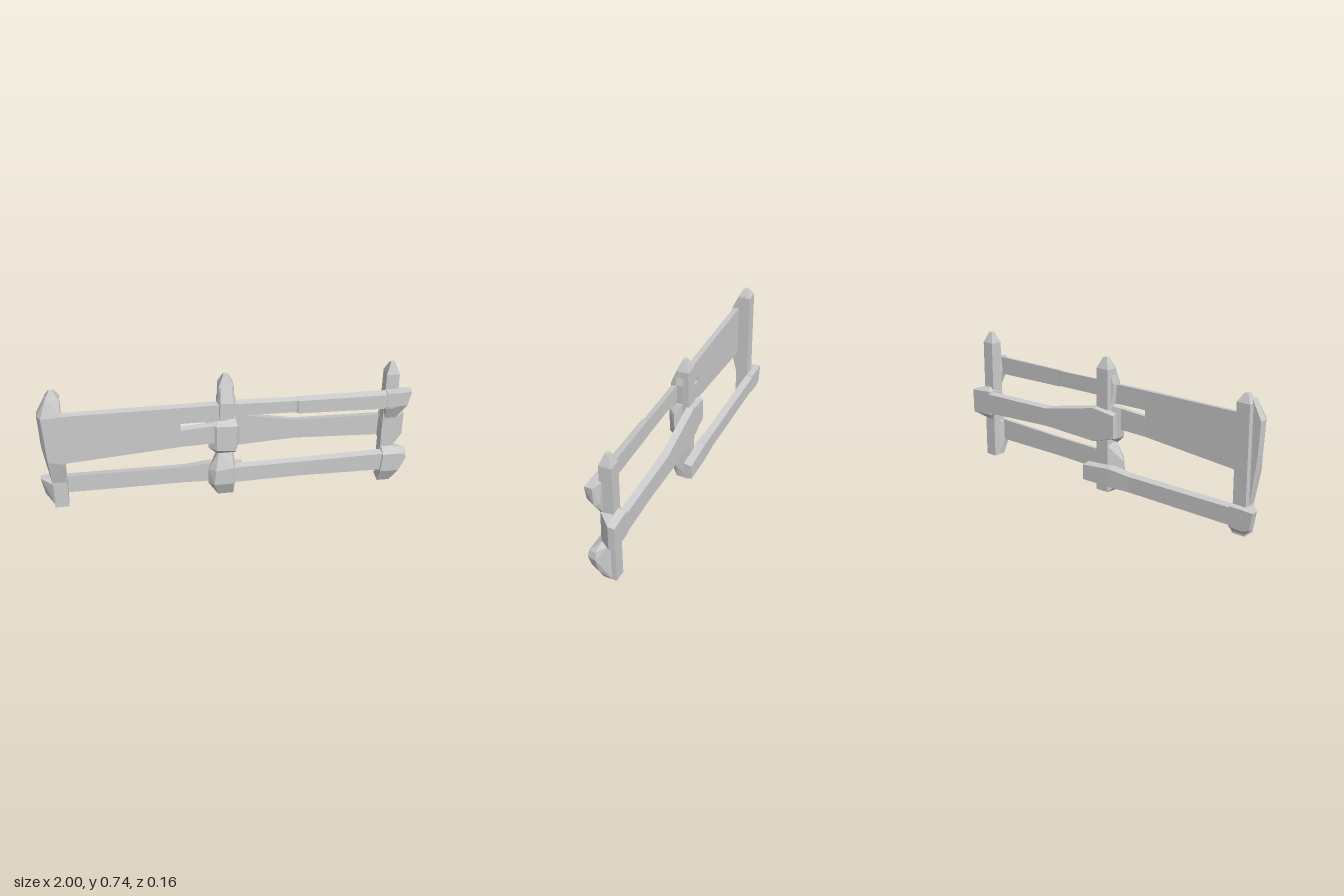
import * as THREE from 'three';
import { ConvexGeometry } from 'three/addons/geometries/ConvexGeometry.js';

const material = new THREE.MeshStandardMaterial({ color: 0xcccccc, flatShading: true });

function add(group, name, geometry) {
  const mesh = new THREE.Mesh(geometry, material);
  mesh.name = name;
  group.add(mesh);
}

// Faceted chunk: hull of several outlines, each given as [z, [x, y], [x, y], ...]
function chunk(group, name, ...layers) {
  const points = layers.flatMap(([z, ...outline]) => outline.map(([x, y]) => new THREE.Vector3(x, y, z)));
  add(group, name, new ConvexGeometry(points));
}

// Board running along x: stations [x, bottom, top, inner z, outer z]; the outer face is slightly narrower
function board(group, name, stations, bevel = 0.008) {
  const positions = [], index = [];
  for (const [x, y0, y1, zi, zo] of stations) {
    const ring = [[y0, zi], [y1, zi], [y1 - bevel, zo], [y0 + bevel, zo]];
    if (zo < zi) ring.reverse();
    for (const [y, z] of ring) positions.push(x, y, z);
  }
  const last = (stations.length - 1) * 4;
  for (let s = 0; s < last; s += 4) {
    for (let k = 0; k < 4; k++) {
      const a = s + k, b = s + (k + 1) % 4;
      index.push(a, b, b + 4, a, b + 4, a + 4);
    }
  }
  index.push(0, 2, 1, 0, 3, 2, last, last + 1, last + 2, last, last + 2, last + 3);
  const geometry = new THREE.BufferGeometry();
  geometry.setAttribute('position', new THREE.Float32BufferAttribute(positions, 3));
  geometry.setIndex(index);
  const flat = geometry.toNonIndexed();
  flat.computeVertexNormals();
  add(group, name, flat);
}

// Square post with a blunt carved point
function post(group, name, x, half, shoulder, top) {
  const points = [];
  for (const [y, w, d] of [[0, half, 0.035], [shoulder, half, 0.034], [top, 0.012, 0.01]]) {
    for (const sx of [-1, 1]) for (const sz of [-1, 1]) points.push(new THREE.Vector3(x + sx * w, y, sz * d));
  }
  add(group, name, new ConvexGeometry(points));
}

export function createModel() {
  const fence = new THREE.Group();
  fence.name = 'fence';

  // Posts
  post(fence, 'rightPost', -0.895, 0.038, 0.67, 0.715);
  post(fence, 'middlePost', 0, 0.04, 0.68, 0.74);
  post(fence, 'leftPost', 0.888, 0.035, 0.68, 0.74);

  // Wide split plank in front: solid part, then two prongs around the slot
  board(fence, 'widePlank', [
    [-0.9, 0.295, 0.597, 0.03, 0.064],
    [-0.245, 0.345, 0.595, 0.028, 0.062],
  ], 0.004);
  board(fence, 'widePlankUpperProng', [
    [-0.245, 0.49, 0.595, 0.028, 0.062],
    [0, 0.487, 0.593, 0.025, 0.06],
  ], 0.004);
  board(fence, 'widePlankLowerProng', [
    [-0.245, 0.345, 0.455, 0.028, 0.062],
    [-0.04, 0.35, 0.468, 0.025, 0.06],
  ], 0.004);

  // Chunky plank ends wrapped over the posts
  chunk(fence, 'widePlankEnd',
    [-0.005, [-0.935, 0.16], [-0.97, 0.42], [-0.98, 0.59], [-0.93, 0.685], [-0.86, 0.68], [-0.86, 0.16]],
    [0.034, [-0.935, 0.16], [-0.86, 0.16], [-0.972, 0.4], [-0.98, 0.59], [-0.925, 0.69], [-0.858, 0.675]],
    [0.07, [-0.945, 0.32], [-0.857, 0.3], [-0.96, 0.59], [-0.857, 0.595]]);
  chunk(fence, 'upperProngEnd',
    [-0.005, [-0.045, 0.5], [-0.05, 0.6], [-0.03, 0.69], [0.03, 0.69], [0.048, 0.6], [0.04, 0.5]],
    [0.034, [-0.042, 0.485], [0.04, 0.485], [0.05, 0.6], [0.028, 0.685], [-0.03, 0.685], [-0.052, 0.59]],
    [0.068, [-0.04, 0.505], [0.035, 0.505], [0.035, 0.597], [-0.035, 0.6]]);
  chunk(fence, 'lowerProngEnd',
    [0, [-0.04, 0.29], [0.045, 0.28], [0.05, 0.48], [-0.04, 0.48]],
    [0.035, [-0.095, 0.31], [-0.05, 0.27], [0.05, 0.27], [0.072, 0.35], [0.072, 0.43], [0.05, 0.48], [-0.04, 0.483], [-0.095, 0.46]],
    [0.07, [-0.055, 0.31], [0.045, 0.3], [0.055, 0.455], [-0.055, 0.46]]);

  // Lower rail behind the first bay
  board(fence, 'lowerBackRail', [
    [-0.93, 0.045, 0.153, -0.032, -0.07],
    [-0.22, 0.048, 0.15, -0.03, -0.071],
    [-0.08, 0.045, 0.162, -0.03, -0.078],
    [0.1, 0.045, 0.145, -0.033, -0.078],
  ]);
  chunk(fence, 'lowerBackRailEnd',
    [0.036, [-0.93, 0.02], [-0.86, 0.02], [-0.86, 0.15], [-0.93, 0.15]],
    [-0.034, [-0.998, 0.15], [-0.98, 0.05], [-0.935, 0.01], [-0.86, 0.01], [-0.855, 0.155]],
    [-0.07, [-0.998, 0.148], [-0.98, 0.055], [-0.94, 0.04], [-0.86, 0.045], [-0.86, 0.152]]);

  // Upper rail in front of the second bay, with a step along its length
  board(fence, 'upperFrontRail', [
    [0.02, 0.51, 0.597, 0.028, 0.06],
    [0.37, 0.504, 0.59, 0.033, 0.064],
    [0.38, 0.5, 0.592, 0.034, 0.071],
    [0.9, 0.49, 0.59, 0.036, 0.077],
  ]);
  chunk(fence, 'upperFrontRailEnd',
    [0.02, [0.853, 0.5], [0.865, 0.412], [0.92, 0.412], [0.95, 0.48], [0.92, 0.59], [0.855, 0.59]],
    [0.036, [0.845, 0.5], [0.865, 0.41], [0.922, 0.412], [0.978, 0.49], [0.99, 0.595], [0.853, 0.592]],
    [0.078, [0.852, 0.505], [0.967, 0.51], [0.985, 0.592], [0.855, 0.59]]);

  // Middle rail behind the second bay, tapering away from the middle post
  board(fence, 'middleBackRail', [
    [-0.1, 0.315, 0.455, -0.03, -0.06],
    [0.04, 0.272, 0.472, -0.025, -0.062],
    [0.38, 0.286, 0.402, -0.032, -0.07],
    [0.88, 0.262, 0.392, -0.034, -0.07],
  ]);
  chunk(fence, 'middleBackRailEnd',
    [0.037, [0.85, 0.29], [0.852, 0.38], [0.87, 0.412], [0.92, 0.412], [0.925, 0.24], [0.87, 0.24]],
    [-0.034, [0.847, 0.26], [0.85, 0.4], [0.875, 0.42], [0.925, 0.415], [0.99, 0.395], [0.99, 0.255], [0.92, 0.227], [0.87, 0.227]],
    [-0.069, [0.855, 0.26], [0.855, 0.4], [0.99, 0.39], [0.988, 0.258]]);

  // Lower rail in front of the second bay
  board(fence, 'lowerFrontRail', [
    [0, 0.085, 0.197, 0.032, 0.068],
    [0.4, 0.092, 0.2, 0.034, 0.066],
    [0.9, 0.09, 0.212, 0.035, 0.072],
  ]);
  chunk(fence, 'lowerFrontRailInnerEnd',
    [-0.033, [-0.04, 0], [0.04, 0], [0.04, 0.26], [-0.04, 0.26]],
    [0.035, [-0.045, 0], [0.04, 0], [0.05, 0.08], [0.05, 0.2], [0.03, 0.27], [-0.04, 0.28], [-0.098, 0.17], [-0.098, 0.08]],
    [0.076, [-0.07, 0.09], [0.03, 0.09], [0.035, 0.19], [-0.06, 0.18]]);
  chunk(fence, 'lowerFrontRailOuterEnd',
    [-0.01, [0.855, 0], [0.92, 0], [0.922, 0.22], [0.857, 0.22]],
    [0.036, [0.853, 0], [0.92, 0], [0.97, 0.075], [1, 0.17], [0.99, 0.212], [0.92, 0.228], [0.86, 0.228], [0.843, 0.19], [0.843, 0.09]],
    [0.079, [0.853, 0.09], [0.955, 0.09], [0.99, 0.17], [0.975, 0.2], [0.86, 0.2]]);

  return fence;
}
